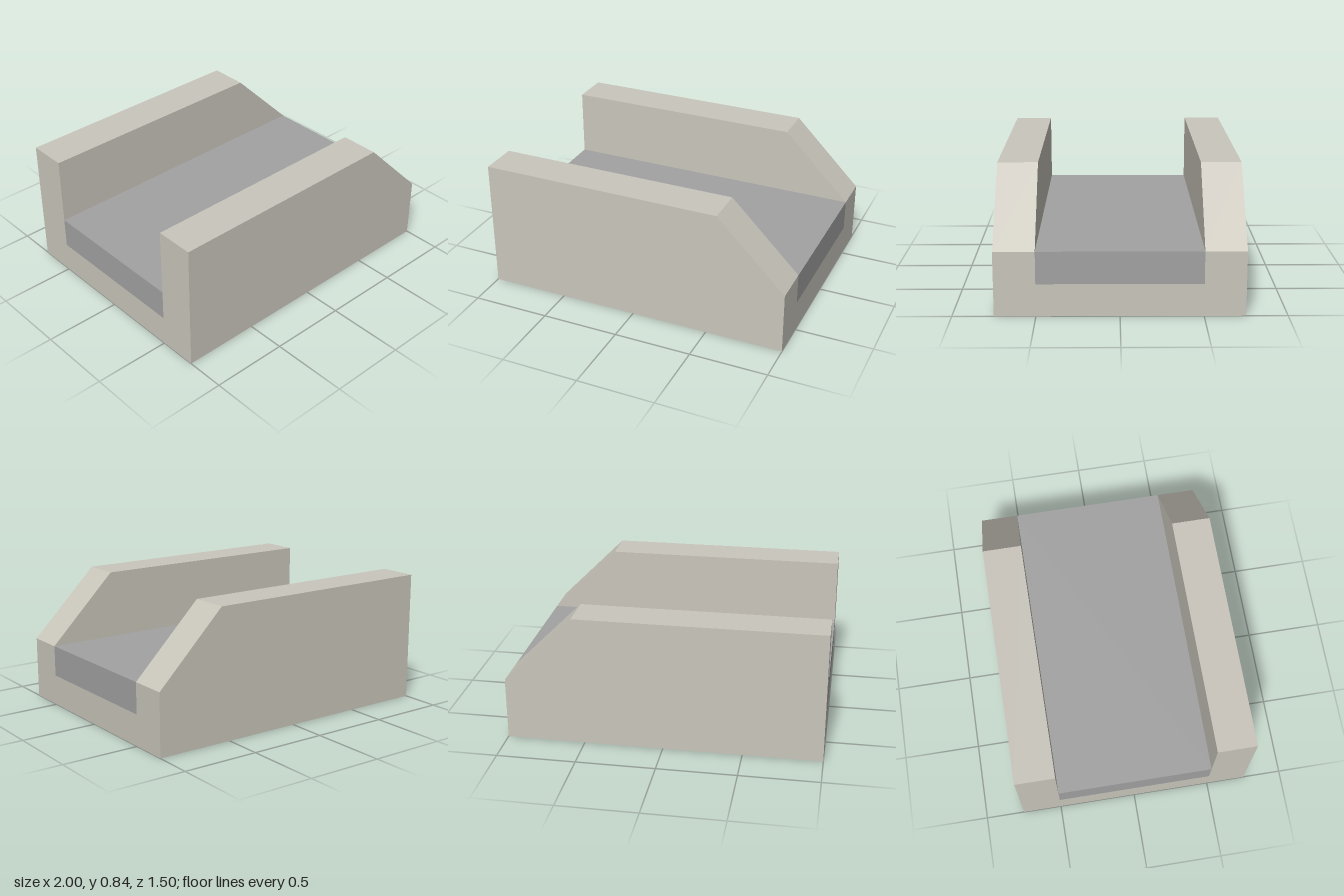
import * as THREE from 'three';

export function createModel() {
  const model = new THREE.Group();
  model.name = 'channelBlock';

  const stone = new THREE.MeshStandardMaterial({ color: 0xcac6bc });
  stone.name = 'warm stone';
  const grey = new THREE.MeshStandardMaterial({ color: 0xa2a2a2 });
  grey.name = 'neutral grey';

  const add = (name, geometry, material, y, z) => {
    const mesh = new THREE.Mesh(geometry, material);
    mesh.name = name;
    mesh.position.set(0, y, z);
    model.add(mesh);
  };

  // Side walls with a sloped end, one on each side of the channel
  const profile = new THREE.Shape([
    new THREE.Vector2(-1, 0),
    new THREE.Vector2(1, 0),
    new THREE.Vector2(1, 0.4),
    new THREE.Vector2(0.56, 0.84),
    new THREE.Vector2(-1, 0.84),
  ]);
  const wall = new THREE.ExtrudeGeometry(profile, { depth: 0.25, bevelEnabled: false });
  add('frontWall', wall, stone, 0, 0.5);
  add('backWall', wall, stone, 0, -0.75);

  // Base between the walls, with the channel floor on top
  const slab = new THREE.BoxGeometry(2, 0.2, 1);
  add('base', slab, stone, 0.1, 0);
  add('channelFloor', slab, grey, 0.3, 0);

  return model;
}
